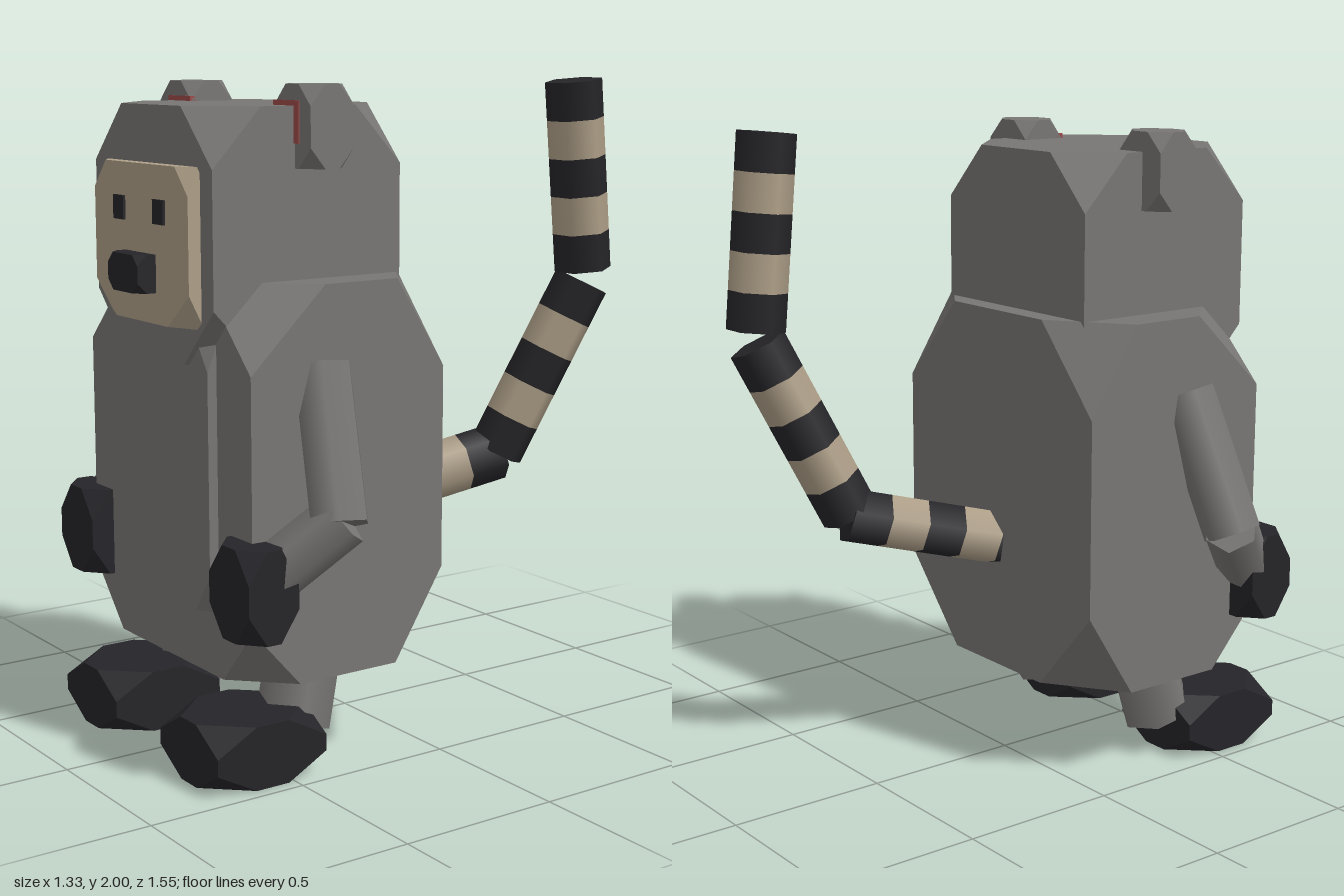
import * as THREE from 'three';
import { ConvexGeometry } from 'three/addons/geometries/ConvexGeometry.js';

const paint = (color, flatShading = true) => new THREE.MeshStandardMaterial({ color, flatShading });

export function createModel() {
  const model = new THREE.Group();
  const fur = paint(0x787674), dark = paint(0x252428), tan = paint(0xae9f88), pink = paint(0x9a4a48);
  const furRound = paint(0x787674, false), darkRound = paint(0x252428, false), tanRound = paint(0xae9f88, false);

  const add = (name, geometry, material) => {
    const mesh = new THREE.Mesh(geometry, material);
    mesh.name = name;
    model.add(mesh);
    return mesh;
  };

  // Box between two corners with its eight corners sliced off; cutAt(sx, sy, sz) gives the slice per axis
  const cutBox = (name, min, max, cutAt, material) => {
    const points = [];
    for (const sx of [-1, 1]) for (const sy of [-1, 1]) for (const sz of [-1, 1]) {
      const s = [sx, sy, sz];
      const cut = typeof cutAt === 'function' ? cutAt(...s) : cutAt;
      const corner = s.map((v, i) => (v > 0 ? max[i] : min[i]));
      for (let i = 0; i < 3; i++) {
        const p = [...corner];
        p[i] -= s[i] * cut[i];
        points.push(new THREE.Vector3(...p));
      }
    }
    return add(name, new ConvexGeometry(points), material);
  };

  // Mirrored version of cutBox, described for the +x side
  const cutPair = (name, min, max, cut, material) => {
    cutBox('left' + name, min, max, cut, material);
    cutBox('right' + name, [-max[0], min[1], min[2]], [-min[0], max[1], max[2]], cut, material);
  };

  // Six-sided rod between two points
  const rod = (name, a, b, radius, material) => {
    const dir = b.clone().sub(a);
    const geometry = new THREE.CylinderGeometry(radius, radius, dir.length(), 6, 1, false, Math.PI / 6);
    const mesh = add(name, geometry, material);
    mesh.position.copy(a).add(b).multiplyScalar(0.5);
    mesh.quaternion.setFromUnitVectors(new THREE.Vector3(0, 1, 0), dir.normalize());
  };

  // Torso, with larger slices at the back, and belly panel
  cutBox('body', [-0.46, 0.29, -0.03], [0.46, 1.44, 0.64], (sx, sy, sz) => {
    if (sz < 0) return [0.24, 0.27, 0.17];
    return sy > 0 ? [0.24, 0.24, 0.25] : [0.16, 0.18, 0.16];
  }, fur);
  cutBox('belly', [-0.28, 0.48, 0.5], [0.28, 1.31, 0.67], [0.08, 0.12, 0.05], fur);

  // Head and face
  cutBox('head', [-0.335, 1.2, 0.04], [0.335, 1.93, 0.68], [0.165, 0.17, 0.16], fur);
  cutBox('face', [-0.27, 1.31, 0.6], [0.27, 1.765, 0.72], (sx, sy) => (sy > 0 ? [0.07, 0.08, 0.05] : [0.12, 0.1, 0.05]), tan);
  cutBox('nose', [-0.087, 1.4, 0.69], [0.087, 1.51, 0.78], [0.03, 0.03, 0.03], dark);
  for (const s of [-1, 1]) {
    const eye = add(s > 0 ? 'leftEye' : 'rightEye', new THREE.BoxGeometry(0.06, 0.07, 0.03), dark);
    eye.position.set(s * 0.115, 1.633, 0.713);
    const inner = add(s > 0 ? 'leftInnerEar' : 'rightInnerEar', new THREE.BoxGeometry(0.13, 0.12, 0.02), pink);
    inner.position.set(s * 0.295, 1.885, 0.402);
  }
  cutPair('Ear', [0.23, 1.755, 0.26], [0.415, 1.99, 0.408], [0.06, 0.06, 0.05], fur);

  // Arms and legs
  for (const s of [-1, 1]) {
    const side = s > 0 ? 'left' : 'right';
    const v = (x, y, z) => new THREE.Vector3(s * x, y, z);
    rod(side + 'UpperArm', v(0.42, 1.2, 0.375), v(0.585, 0.78, 0.43), 0.09, furRound);
    rod(side + 'Forearm', v(0.59, 0.8, 0.42), v(0.46, 0.61, 0.61), 0.085, furRound);
    rod(side + 'Leg', v(0.265, 0.42, 0.32), v(0.295, 0.11, 0.4), 0.115, furRound);
  }
  cutPair('Hand', [0.35, 0.46, 0.55], [0.56, 0.73, 0.715], [0.07, 0.09, 0.06], dark);
  cutPair('Foot', [0.135, 0, 0.39], [0.46, 0.19, 0.76], [0.12, 0.07, 0.13], dark);

  // Banded tail in three straight lengths
  const joints = [[0.01, 0.67, 0.1], [0.2, 0.815, -0.46], [0.2, 0.815, -0.45], [0.325, 1.36, -0.69],
    [0.33, 1.4, -0.69], [0.335, 1.99, -0.63]].map((p) => new THREE.Vector3(...p));
  const bands = 5;
  for (let j = 0; j < joints.length; j += 2) {
    for (let i = 0; i < bands; i++) {
      const a = joints[j].clone().lerp(joints[j + 1], i / bands);
      const b = joints[j].clone().lerp(joints[j + 1], (i + 1) / bands);
      rod('tailBand', a, b, 0.09, i % 2 ? tanRound : darkRound);
    }
  }
  return model;
}
